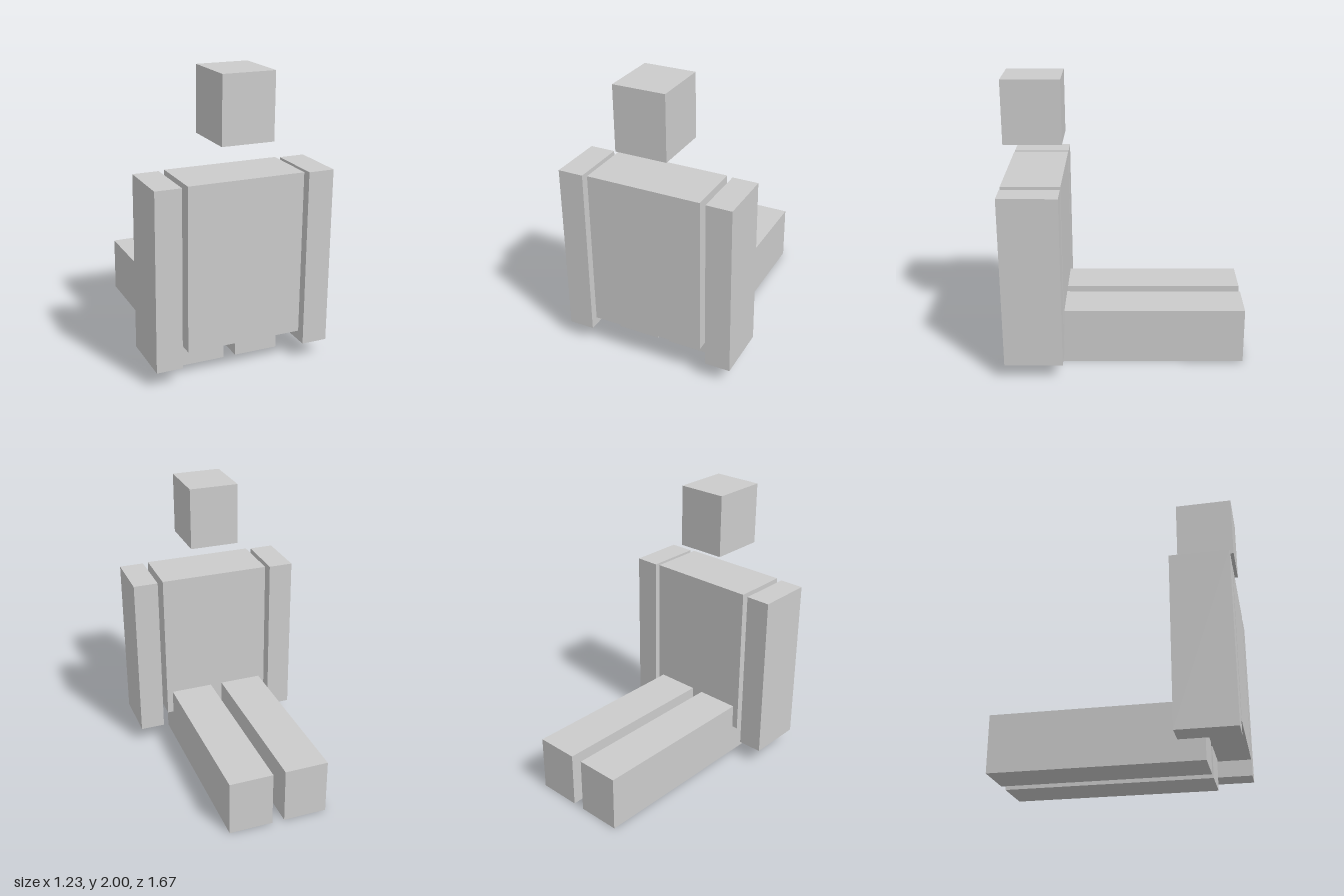
import * as THREE from 'three';

export function createModel() {
  const model = new THREE.Group();
  model.name = 'seatedBlockFigure';
  const material = new THREE.MeshStandardMaterial({ color: 0xcccccc, flatShading: true });

  // Box given by its lower and upper limits on each axis
  function block(name, [x0, x1], [y0, y1], [z0, z1]) {
    const mesh = new THREE.Mesh(new THREE.BoxGeometry(x1 - x0, y1 - y0, z1 - z0), material);
    mesh.position.set((x0 + x1) / 2, (y0 + y1) / 2, (z0 + z1) / 2);
    mesh.name = name;
    model.add(mesh);
  }

  const bodyDepth = [0.433, 0.833];

  // Floating head above the upright torso
  block('head', [-0.178, 0.178], [1.556, 2], bodyDepth);
  block('torso', [-0.4, 0.4], [0.222, 1.333], bodyDepth);

  // Mirrored arms hanging beside the torso, and legs stretched out flat
  for (const [side, s] of [['left', 1], ['right', -1]]) {
    const span = (a, b) => (s > 0 ? [a, b] : [-b, -a]);
    block(side + 'Arm', span(0.438, 0.616), [0.117, 1.328], bodyDepth);
    block(side + 'Leg', span(0.044, 0.356), [0, 0.4], [-0.833, 0.6]);
  }

  return model;
}
